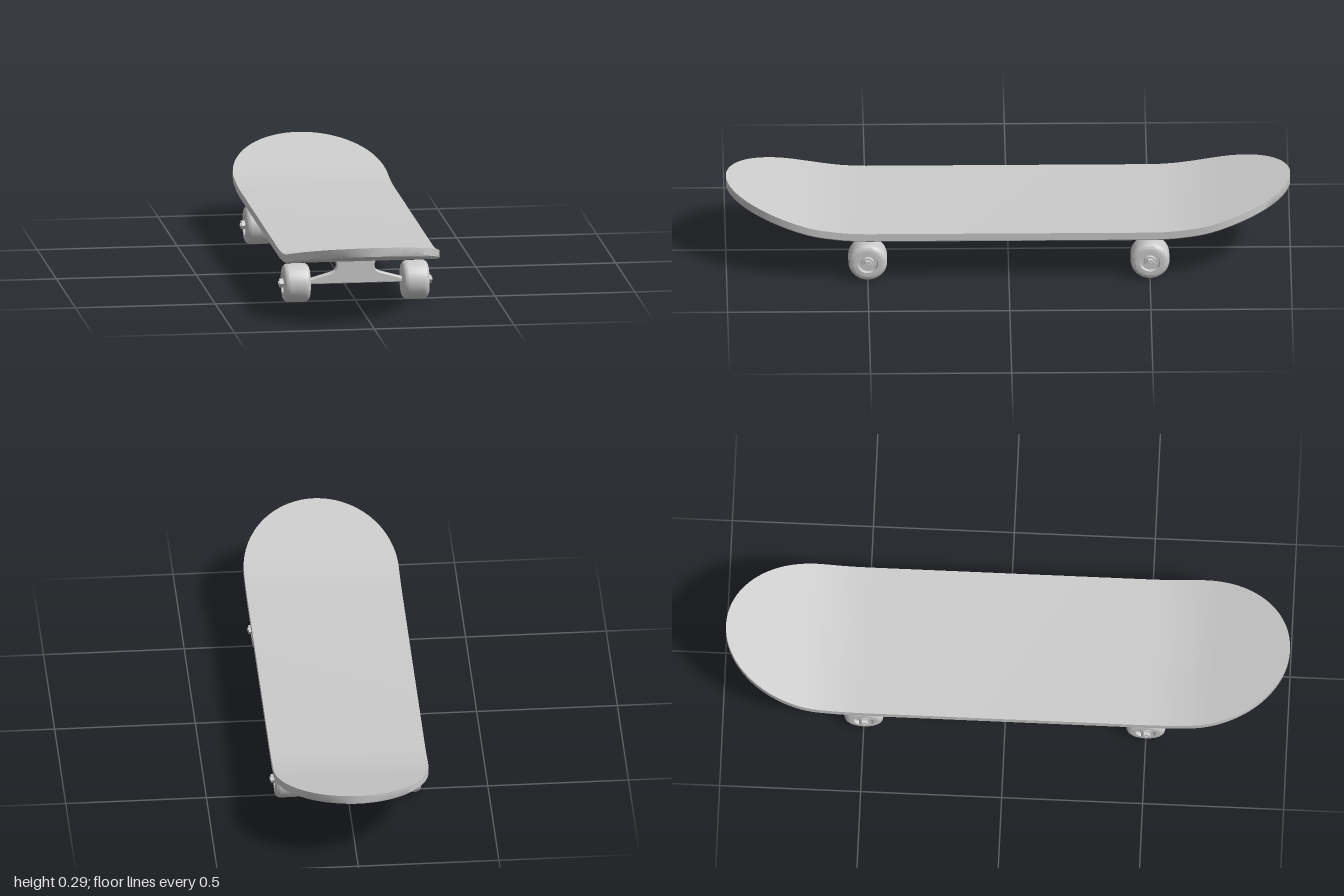
import * as THREE from 'three';
import { toCreasedNormals } from 'three/addons/utils/BufferGeometryUtils.js';

const material = new THREE.MeshStandardMaterial({ color: 0xcccccc, side: THREE.DoubleSide });

function addMesh(parent, name, geometry) {
  const mesh = new THREE.Mesh(geometry, material);
  mesh.name = name;
  parent.add(mesh);
  return mesh;
}

// Height gained by the kicked-up nose and tail
function kick(z) {
  const start = 0.5, blend = 0.25, slope = 0.264;
  const d = Math.max(0, Math.abs(z) - start);
  return d < blend ? slope * d * d / (2 * blend) : slope * (d - blend / 2);
}

// Board lofted along z: straight sides, elliptical ends
function deckGeometry() {
  const half = 0.275, straight = 0.66, steps = 28;
  const stations = [];
  for (let i = 0; i <= steps; i++) {
    const a = (i / steps) * Math.PI / 2;
    stations.push([straight + (1 - straight) * Math.sin(a), i === steps ? 0 : half * Math.cos(a)]);
  }
  const front = [[0.5, half], [0.55, half], [0.6, half], ...stations];
  const all = [...front.map(([z, w]) => [-z, w]).reverse(), ...front];

  const positions = [], index = [], ring = 6;
  for (const [z, w] of all) {
    const bottom = 0.162 + kick(z), top = 0.194 + kick(z);
    const inner = Math.max(0, w - 0.005);
    const section = [[inner, bottom], [w, bottom + 0.005], [w, top],
      [-w, top], [-w, bottom + 0.005], [-inner, bottom]];
    for (const [x, y] of section) positions.push(x, y, z);
  }
  for (let s = 0; s < all.length - 1; s++) {
    for (let j = 0; j < ring; j++) {
      const a = s * ring + j, b = s * ring + (j + 1) % ring;
      index.push(a, b, a + ring, b, b + ring, a + ring);
    }
  }
  const geometry = new THREE.BufferGeometry();
  geometry.setAttribute('position', new THREE.Float32BufferAttribute(positions, 3));
  geometry.setIndex(index);
  return toCreasedNormals(geometry, 0.6);
}

// Flared truck plate that carries the axle
function hangerGeometry() {
  const shape = new THREE.Shape();
  shape.moveTo(-0.175, 0.064);
  shape.lineTo(0.175, 0.064);
  shape.lineTo(0.175, 0.078);
  shape.lineTo(0.09, 0.102);
  shape.bezierCurveTo(0.066, 0.109, 0.064, 0.128, 0.071, 0.142);
  shape.lineTo(0.083, 0.168);
  shape.lineTo(-0.083, 0.168);
  shape.lineTo(-0.071, 0.142);
  shape.bezierCurveTo(-0.064, 0.128, -0.066, 0.109, -0.09, 0.102);
  shape.lineTo(-0.175, 0.078);
  shape.closePath();
  const geometry = new THREE.ExtrudeGeometry(shape, {
    depth: 0.026, bevelEnabled: true, bevelThickness: 0.003, bevelSize: 0.003,
    bevelOffset: -0.003, bevelSegments: 1, curveSegments: 12,
  });
  return toCreasedNormals(geometry.translate(0, 0, -0.013), 0.5);
}

// Wheel profile turned about x, with rounded shoulders and a recessed hub
function wheelGeometry() {
  const r = 0.069, c = 0.02, w = 0.0475;
  const points = [new THREE.Vector2(0, -w)];
  for (const [centre, from] of [[-w + c, -Math.PI / 2], [w - c, 0]]) {
    for (let i = 0; i <= 6; i++) {
      const a = from + (i / 6) * Math.PI / 2;
      points.push(new THREE.Vector2(r - c + c * Math.cos(a), centre + c * Math.sin(a)));
    }
  }
  for (const [x, y] of [[0.036, w], [0.033, w - 0.012], [0.022, w - 0.012], [0.02, w - 0.004], [0, w - 0.004]]) {
    points.push(new THREE.Vector2(x, y));
  }
  const geometry = new THREE.LatheGeometry(points, 40);
  return toCreasedNormals(geometry.rotateZ(-Math.PI / 2), 0.6);
}

export function createModel() {
  const model = new THREE.Group();
  model.name = 'skateboard';
  addMesh(model, 'deck', deckGeometry());

  const hanger = hangerGeometry();
  const wheel = wheelGeometry();
  const rod = new THREE.CylinderGeometry(0.007, 0.007, 0.55, 16).rotateZ(Math.PI / 2);
  const hexNut = toCreasedNormals(new THREE.CylinderGeometry(0.016, 0.016, 0.014, 6).rotateZ(Math.PI / 2), 0.3);

  for (const end of [1, -1]) {
    const truck = new THREE.Group();
    truck.name = end > 0 ? 'frontTruck' : 'rearTruck';
    truck.position.z = end * 0.5;
    model.add(truck);
    addMesh(truck, 'hanger', hanger);
    addMesh(truck, 'axle', rod).position.y = 0.069;

    // Wheel and nut on each side
    for (const side of [1, -1]) {
      const assembly = new THREE.Group();
      assembly.name = side > 0 ? 'leftWheel' : 'rightWheel';
      assembly.position.set(side * 0.2125, 0.069, 0);
      assembly.rotation.y = side > 0 ? 0 : Math.PI;
      truck.add(assembly);
      addMesh(assembly, 'wheel', wheel);
      addMesh(assembly, 'axleNut', hexNut).position.x = 0.052;
    }
  }
  return model;
}
